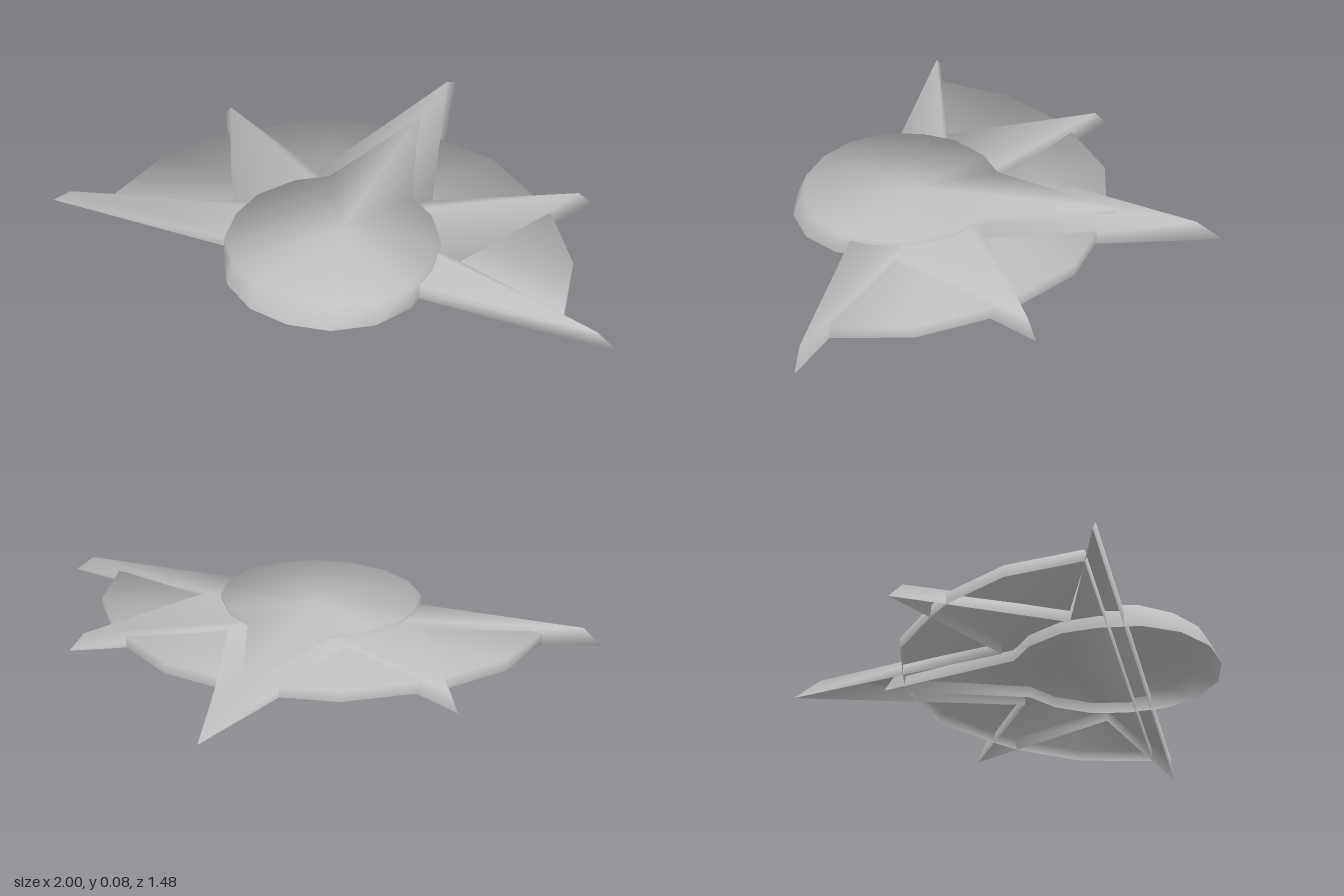
import * as THREE from 'three';

const grey = new THREE.MeshStandardMaterial({ color: 0xc0c0c0, side: THREE.DoubleSide });
grey.name = 'plain grey';

// Completes a +x half outline (front to back) with its mirror image
function mirrored(half) {
  const other = half.filter(p => p[0] > 0).reverse().map(([x, ...rest]) => [-x, ...rest]);
  return [...half, ...other];
}

// Shell open at the bottom: a rim on the ground, sloped walls and a flat top.
// Each point is [x, z, topX, topZ]; the top position defaults to the rim position.
function shell(name, half, height, centreZ) {
  const points = mirrored(half.map(([x, z, tx = x, tz = z]) => [x, z, tx, tz]));
  const n = points.length;
  const position = [];
  points.forEach(([x, z], i) => position.push(x, 0, z));
  points.forEach(([x, z, tx, tz]) => position.push(Math.sign(x) * Math.abs(tx), height, tz));
  position.push(0, height, centreZ);

  const index = [];
  for (let i = 0; i < n; i++) {
    const j = (i + 1) % n;
    index.push(i, j, n + j, i, n + j, n + i); // wall
    index.push(2 * n, n + i, n + j); // top
  }

  // Soft edges: every face counts equally, so the top rolls over into the walls
  const corner = i => new THREE.Vector3().fromArray(position, i * 3);
  const normals = Array.from({ length: 2 * n + 1 }, () => new THREE.Vector3());
  for (let f = 0; f < index.length; f += 3) {
    const face = index.slice(f, f + 3);
    const normal = new THREE.Vector3();
    new THREE.Triangle(...face.map(corner)).getNormal(normal);
    face.forEach(i => normals[i].add(normal));
  }

  const geometry = new THREE.BufferGeometry();
  geometry.setAttribute('position', new THREE.Float32BufferAttribute(position, 3));
  geometry.setAttribute('normal', new THREE.Float32BufferAttribute(
    normals.flatMap(v => v.normalize().toArray()), 3));
  geometry.setIndex(index);
  const mesh = new THREE.Mesh(geometry, grey);
  mesh.name = name;
  return mesh;
}

export function createModel() {
  const model = new THREE.Group();
  model.name = 'spikedShell';

  // Low web joining the spikes
  model.add(shell('web', [
    [0, 0.4], [0.8, 0.4], [0.745, 0.14], [0.6, -0.07], [0.52, -0.14],
    [0.31, -0.29], [0.1, -0.33], [0, -0.345],
  ], 0.04, 0.2));

  // Five-pointed star: two front spikes, two side spikes and a tail
  model.add(shell('spikes', [
    [0, 0.455], [1, 0.455, 0.93, 0.455], [0.4, 0.29], [0.69, -0.235, 0.65, -0.2],
    [0.21, 0.03], [0, -0.74, 0, -0.65],
  ], 0.057, 0.2));

  // Rounded head with a pointed rear crest
  model.add(shell('head', [
    [0, 0.735, 0, 0.7], [0.14, 0.71, 0.135, 0.675], [0.26, 0.63, 0.25, 0.605],
    [0.33, 0.51, 0.33, 0.5], [0.342, 0.37, 0.35, 0.37], [0.325, 0.25, 0.33, 0.25],
    [0.25, 0.13], [0.15, 0.06], [0, -0.42, 0, -0.37],
  ], 0.076, 0.3));

  return model;
}
